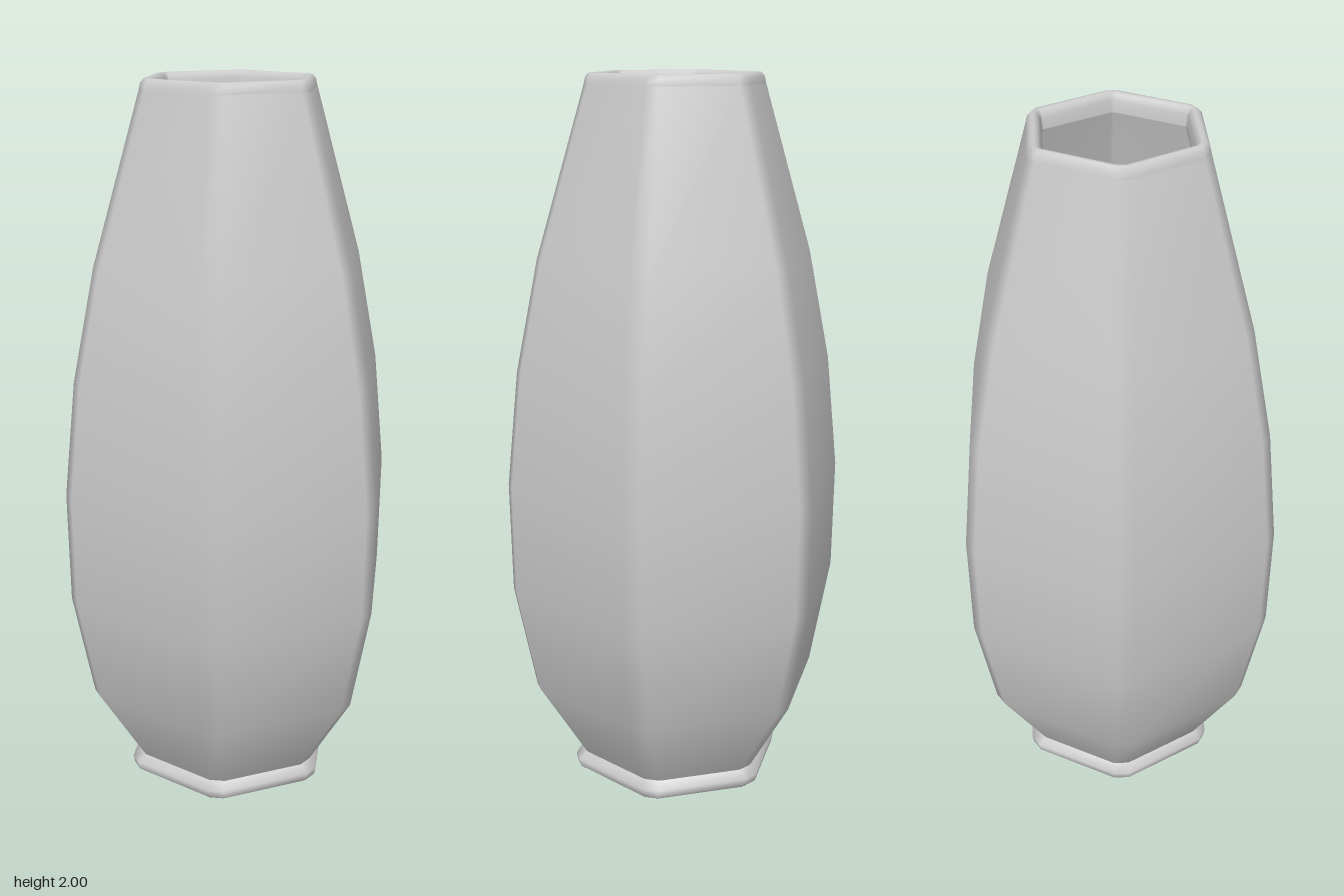
import * as THREE from 'three';

// Chamfered hexagon ring: flats face +z and -z, a = distance to flat, h = half chamfer width
function hexRing(a, y, h) {
  const points = [];
  const half = a * Math.tan(Math.PI / 6) - h / Math.sin(Math.PI / 3);
  for (let k = 0; k < 6; k++) {
    const t = Math.PI / 6 + k * Math.PI / 3;
    for (const s of [-half, half]) {
      points.push(a * Math.cos(t) - s * Math.sin(t), y, a * Math.sin(t) + s * Math.cos(t));
    }
  }
  return points;
}

// Skin a run of [a, y, h] rows with smooth normals
function skin(rows) {
  const position = rows.flatMap(r => hexRing(...r));
  const index = [];
  for (let j = 0; j < rows.length - 1; j++) {
    for (let i = 0; i < 12; i++) {
      const n = (i + 1) % 12;
      const a = j * 12 + i, b = a + 12, c = j * 12 + n, d = c + 12;
      if (rows[j][0] > 0) index.push(a, b, c);
      if (rows[j + 1][0] > 0) index.push(c, b, d);
    }
  }
  const geometry = new THREE.BufferGeometry();
  geometry.setAttribute('position', new THREE.Float32BufferAttribute(position, 3));
  geometry.setIndex(index);
  geometry.computeVertexNormals();
  return geometry;
}

export function createModel() {
  const group = new THREE.Group();
  group.name = 'hexagonalVase';
  const material = new THREE.MeshStandardMaterial({ color: 0xcccccc });
  const add = (name, rows) => {
    const mesh = new THREE.Mesh(skin(rows), material);
    mesh.name = name;
    group.add(mesh);
  };

  // Underside of the foot
  add('base', [[0, 0, 0], [0.258, 0, 0.02]]);

  // Flared foot ring
  add('foot', [[0.258, 0, 0.02], [0.268, 0.008, 0.022], [0.272, 0.03, 0.022], [0.252, 0.052, 0.022]]);

  // Swelling outer wall
  add('body', [
    [0.252, 0.052, 0.022], [0.37, 0.27, 0.024], [0.423, 0.57, 0.025], [0.428, 0.88, 0.025],
    [0.4, 1.2, 0.025], [0.345, 1.51, 0.024], [0.225, 1.97, 0.02],
  ]);

  // Rounded lip
  add('rim', [
    [0.225, 1.97, 0.02], [0.221, 1.988, 0.018], [0.212, 1.999, 0.016], [0.203, 2, 0.013],
    [0.194, 1.995, 0.008], [0.187, 1.98, 0.005], [0.184, 1.95, 0.004],
  ]);

  // Hollow interior, from the lip down to the floor
  add('interior', [
    [0.184, 1.95, 0.004], [0.305, 1.49, 0.01], [0.36, 1.19, 0.01], [0.388, 0.88, 0.01],
    [0.383, 0.58, 0.01], [0.332, 0.29, 0.01], [0.22, 0.08, 0.01], [0, 0.06, 0],
  ]);

  return group;
}
